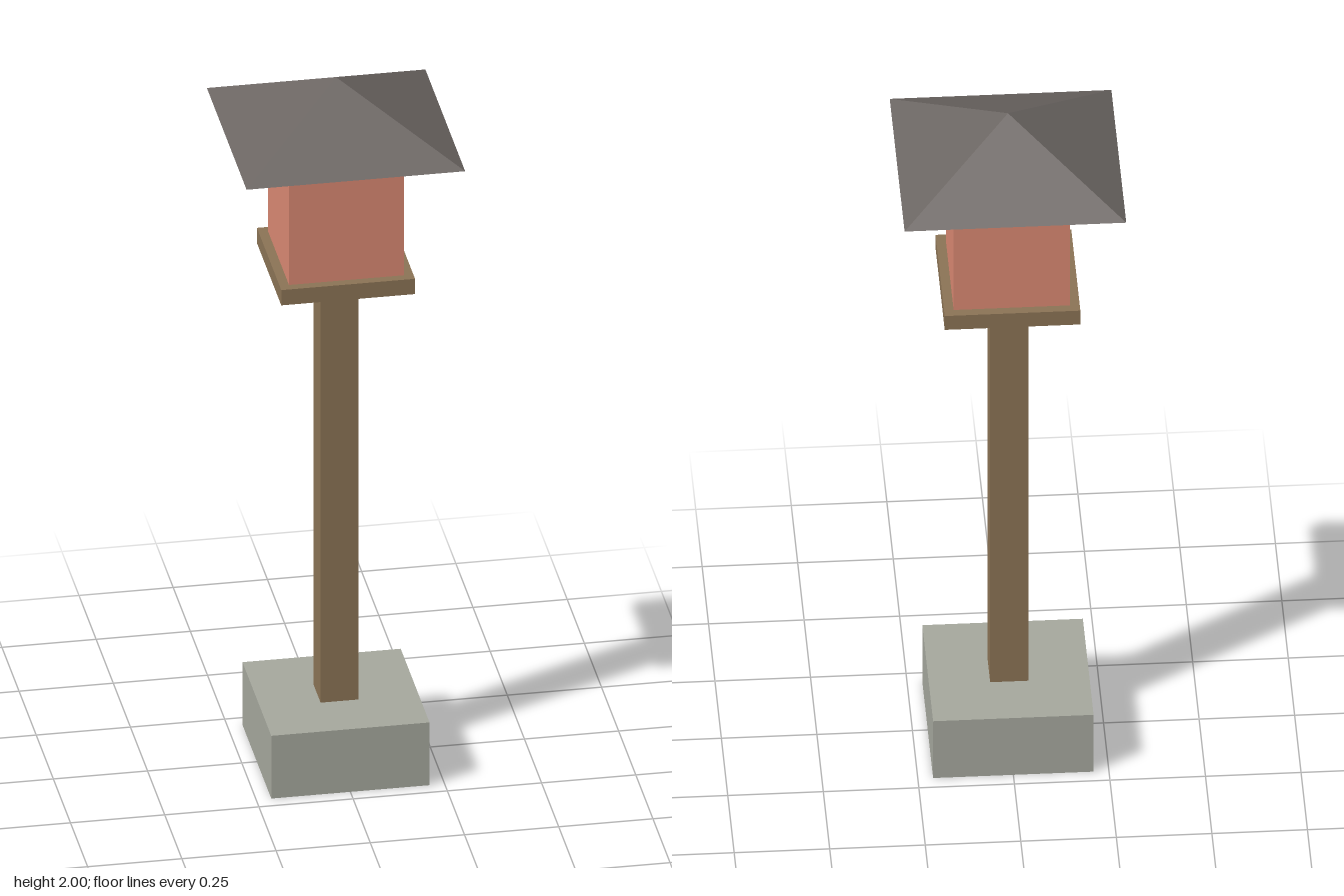
import * as THREE from 'three';

export function createModel() {
  const group = new THREE.Group();

  function add(name, geometry, color, y) {
    const material = new THREE.MeshStandardMaterial({ color, flatShading: true });
    const mesh = new THREE.Mesh(geometry, material);
    mesh.name = name;
    mesh.position.y = y;
    group.add(mesh);
  }

  // Square block standing between two heights
  function block(name, width, bottom, top, color) {
    add(name, new THREE.BoxGeometry(width, top - bottom, width), color, (bottom + top) / 2);
  }

  const wood = 0x8b7355;
  block('stoneBase', 0.42, 0, 0.185, 0xa5a79d);
  block('post', 0.1, 0.185, 1.435, wood);
  block('platform', 0.355, 1.435, 1.48, wood);
  block('lanternBox', 0.305, 1.48, 1.845, 0xd98872);

  // Four-sided pyramid roof with its sides facing the axes
  const roofBottom = 1.845, roofHeight = 0.155;
  const roof = new THREE.ConeGeometry(0.29 * Math.SQRT2, roofHeight, 4).rotateY(Math.PI / 4);
  add('roof', roof, 0x6b6562, roofBottom + roofHeight / 2);

  return group;
}
